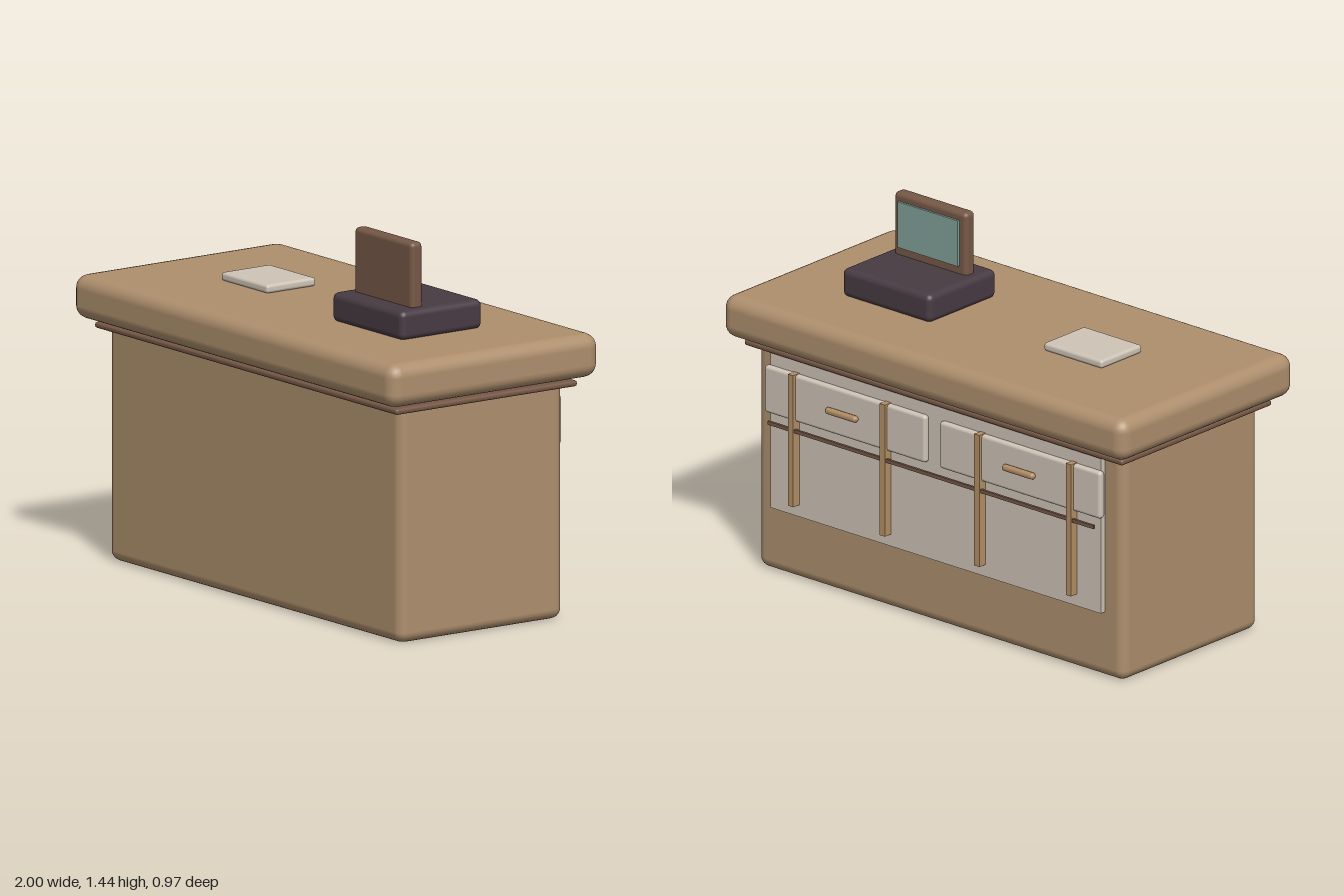
import * as THREE from 'three';
import { RoundedBoxGeometry } from 'three/addons/geometries/RoundedBoxGeometry.js';

const material = (name, color) => {
  const m = new THREE.MeshStandardMaterial({ color });
  m.name = name;
  return m;
};

export function createModel() {
  const wood = material('tan wood', 0xae8f6d);
  const lightWood = material('light wood', 0xb48f66);
  const brown = material('brown wood', 0x765846);
  const cream = material('cream', 0xcfc5b7);
  const dark = material('dark plum', 0x483b43);
  const glass = material('teal glass', 0x80a198);

  const group = new THREE.Group();
  group.name = 'shopCounter';

  // Box given by its min and max on each axis; a radius rounds its edges
  const box = (name, mat, [x0, x1], [y0, y1], [z0, z1], radius = 0, segments = 3) => {
    const size = [x1 - x0, y1 - y0, z1 - z0];
    const geometry = radius
      ? new RoundedBoxGeometry(...size, segments, radius)
      : new THREE.BoxGeometry(...size);
    const mesh = new THREE.Mesh(geometry, mat);
    mesh.name = name;
    mesh.position.set((x0 + x1) / 2, (y0 + y1) / 2, (z0 + z1) / 2);
    group.add(mesh);
    return mesh;
  };

  // Counter
  box('counterBody', wood, [-0.91, 0.91], [0, 0.925], [-0.38, 0.38], 0.04);
  box('counterTop', wood, [-1, 1], [0.92, 1.087], [-0.485, 0.485], 0.052);
  box('trim', brown, [-0.94, 0.94], [0.883, 0.906], [-0.42, 0.42], 0.01, 2);

  // Back panel with its thin horizontal rail
  box('backPanel', cream, [-0.82, 0.82], [0.262, 0.89], [-0.404, -0.375]);
  box('backRail', brown, [-0.81, 0.81], [0.604, 0.618], [-0.434, -0.424]);

  // Drawers, pulls and upright slats, mirrored left and right
  for (const side of [1, -1]) {
    const span = (a, b) => (side > 0 ? [a, b] : [-b, -a]);
    box('drawer', cream, span(0.035, 0.835), [0.645, 0.832], [-0.426, -0.396], 0.013, 2);

    const pull = new THREE.Mesh(new THREE.CapsuleGeometry(0.014, 0.13, 3, 8), lightWood);
    pull.name = 'drawerPull';
    pull.rotation.z = Math.PI / 2;
    pull.position.set(0.44 * side, 0.738, -0.435);
    group.add(pull);

    for (const x of [0.235, 0.69]) {
      box('slat', lightWood, span(x - 0.013, x + 0.013), [0.31, 0.834], [-0.439, -0.404]);
    }
  }

  // Paper pad
  box('paperPad', cream, [-0.57, -0.28], [1.087, 1.12], [-0.118, 0.11], 0.012, 2);

  // Till, with its screen facing the back
  box('tillBase', dark, [0.22, 0.66], [1.083, 1.195], [-0.19, 0.187], 0.024);
  box('tillMonitor', brown, [0.26, 0.62], [1.17, 1.44], [0.058, 0.112], 0.018);
  box('tillScreen', glass, [0.29, 0.59], [1.228, 1.41], [0.045, 0.054]);
  box('screenMount', brown, [0.4, 0.48], [1.28, 1.36], [0.053, 0.062]);

  return group;
}
